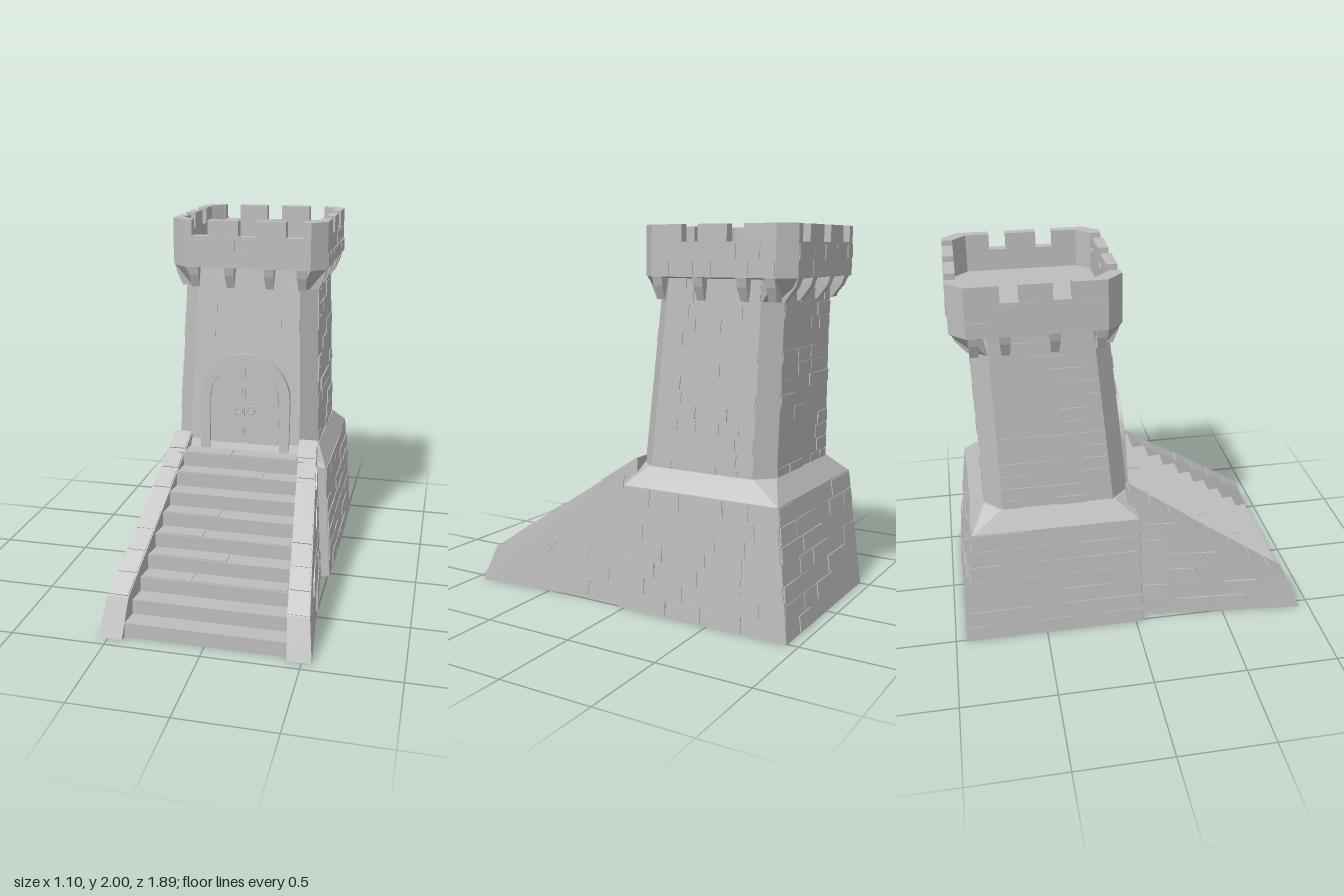
import * as THREE from 'three';
import { mergeGeometries } from 'three/addons/utils/BufferGeometryUtils.js';

const stone = new THREE.MeshStandardMaterial({ color: 0xbdbdbd, flatShading: true });
stone.name = 'grey stone';

let seed = 7;
const rand = () => (seed = (seed * 16807) % 2147483647) / 2147483647;
const V = (x, y, z) => new THREE.Vector3(x, y, z);

// Closed solid through rings of equal point count, always facing outwards
function loft(rings) {
  const n = rings[0].length, tris = [];
  for (let r = 0; r < rings.length - 1; r++) {
    for (let i = 0; i < n; i++) {
      const j = (i + 1) % n, [a, b, c, d] = [rings[r][i], rings[r][j], rings[r + 1][i], rings[r + 1][j]];
      tris.push([a, b, d], [a, d, c]);
    }
  }
  const first = rings[0], last = rings[rings.length - 1];
  for (let i = 1; i < n - 1; i++) tris.push([first[0], first[i + 1], first[i]], [last[0], last[i], last[i + 1]]);
  const o = first[0];
  let volume = 0;
  for (const [a, b, c] of tris) {
    volume += a.clone().sub(o).dot(b.clone().sub(o).cross(c.clone().sub(o)));
  }
  if (volume < 0) tris.forEach((t) => t.reverse());
  const g = new THREE.BufferGeometry().setFromPoints(tris.flat());
  g.computeVertexNormals();
  return g;
}

// Rectangle with cut corners, counterclockwise from above
function octagon(x, zf, zb, c, y) {
  return [[-x + c, zf], [x - c, zf], [x, zf - c], [x, zb + c], [x - c, zb], [-x + c, zb], [-x, zb + c], [-x, zf - c]]
    .map(([px, pz]) => V(px, y, pz));
}

const prism = (plan, y0, y1) => loft([y0, y1].map((y) => plan.map(([x, z]) => V(x, y, z))));

// Scattered raised blocks over a four-cornered wall face
function bricks([bl, br, tr, tl], rows, width, density, keep = () => true) {
  const at = (u, v) => bl.clone().lerp(br, u).lerp(tl.clone().lerp(tr, u), v);
  const normal = br.clone().sub(bl).cross(tl.clone().sub(bl)).normalize();
  const list = [];
  for (let r = 0; r < rows; r++) {
    const v0 = (r + 0.06) / rows, v1 = (r + 0.94) / rows;
    const length = at(0, v0).distanceTo(at(1, v0));
    let u = 0;
    while (u < 0.999) {
      let end = u + (width * (0.65 + 0.7 * rand())) / length;
      if (end > 1 - (0.4 * width) / length) end = 1;
      const g = 0.004 / length;
      const mid = at((u + end) / 2, (v0 + v1) / 2);
      if (rand() < density && keep(mid)) {
        const corners = [[u + g, v0], [end - g, v0], [end - g, v1], [u + g, v1]].map(([a, b]) => at(a, b));
        const t = 0.003 + 0.004 * rand();
        list.push(loft([-0.006, t].map((d) => corners.map((p) => p.clone().addScaledVector(normal, d)))));
      }
      u = end;
    }
  }
  return list;
}

const face = (low, high, i) => [low[i], low[(i + 1) % 8], high[(i + 1) % 8], high[i]];

export function createModel() {
  const model = new THREE.Group();
  const add = (name, geos, parent = model) => {
    const list = [geos].flat().map((g) => (g.index ? g.toNonIndexed() : g));
    list.forEach((g) => g.deleteAttribute('uv'));
    const mesh = new THREE.Mesh(mergeGeometries(list), stone);
    mesh.name = name;
    parent.add(mesh);
    return mesh;
  };

  // Sloped plinth
  const p0 = octagon(0.512, 0.04, -0.942, 0.002, 0);
  const p1 = octagon(0.47, 0.02, -0.865, 0.002, 0.66);
  const p2 = octagon(0.41, -0.015, -0.79, 0.085, 0.765);
  add('plinth', loft([p0, p1, p2]));
  add('plinthBricks', [2, 4, 6].flatMap((i) => bricks(face(p0, p1, i), 7, 0.2, 0.6)));

  // Tapering tower shaft
  const t0 = octagon(0.405, -0.018, -0.785, 0.09, 0.74);
  const t1 = octagon(0.368, -0.116, -0.8, 0.085, 1.76);
  add('towerShaft', loft([t0, t1]));
  const offDoor = (p) => p.z < -0.2 || Math.abs(p.x) > 0.33 || p.y > 1.31;
  add('towerBricks', [0, 2, 4, 6].flatMap((i) => bricks(face(t0, t1, i), 14, 0.15, 0.5, offDoor)));

  // Parapet with a sunken roof floor
  const out = { x: 0.43, zf: -0.052, zb: -0.893, c: 0.08 };
  const inn = { x: 0.378, zf: -0.108, zb: -0.838, c: 0.07 };
  const outer = (y) => octagon(out.x, out.zf, out.zb, out.c, y);
  const inner = (y) => octagon(inn.x, inn.zf, inn.zb, inn.c, y);
  add('parapet', loft([octagon(0.36, -0.12, -0.8, 0.08, 1.735), outer(1.745), outer(1.915), inner(1.915), inner(1.8)]));
  add('parapetBricks', [0, 2, 4, 6].flatMap((i) => bricks(face(outer(1.75), outer(1.91), i), 2, 0.15, 0.55)));

  // Merlons: chamfered corners, then straight runs between the gaps
  const merlons = [];
  const o = outer(0), n = inner(0);
  for (const i of [1, 3, 5, 7]) {
    const j = (i + 1) % 8;
    merlons.push(prism([o[i], o[j], n[j], n[i]].map((p) => [p.x, p.z]), 1.91, 2));
  }
  const runs = (lo, hi, gaps, width) => {
    const edges = [lo, ...gaps.flatMap((g) => [g - width / 2, g + width / 2]), hi];
    return edges.flatMap((e, k) => (k % 2 ? [] : [[e, edges[k + 1]]]));
  };
  for (const [a, b] of runs(-0.35, 0.35, [-0.26, 0, 0.26], 0.09)) {
    for (const [z0, z1] of [[out.zf, inn.zf], [inn.zb, out.zb]]) {
      merlons.push(prism([[a, z0], [b, z0], [b, z1], [a, z1]], 1.91, 2));
    }
  }
  for (const [a, b] of runs(-0.813, -0.132, [-0.6, -0.35], 0.09)) {
    for (const s of [1, -1]) {
      merlons.push(prism([[s * inn.x, a], [s * out.x, a], [s * out.x, b], [s * inn.x, b]], 1.91, 2));
    }
  }
  add('merlons', merlons);

  // Corbels under the parapet, and flared corner supports
  const corbels = [];
  const corbel = (place, s, reach) => {
    const ring = (d, w, y) => [[s - w, -0.04], [s + w, -0.04], [s + w, d], [s - w, d]]
      .map(([a, b]) => { const [x, z] = place(a, b); return V(x, y, z); });
    corbels.push(loft([ring(0.014, 0.02, 1.63), ring(reach * 0.8, 0.026, 1.7), ring(reach, 0.028, 1.75)]));
  };
  for (const s of [-0.3, -0.1, 0.12, 0.3]) {
    corbel((a, d) => [a, -0.108 + d], s, 0.052);
    corbel((a, d) => [a, -0.798 - d], s, 0.088);
  }
  for (const s of [-0.16, -0.39, -0.63, -0.78]) {
    corbel((a, d) => [0.37 + d, a], s, 0.056);
    corbel((a, d) => [-0.37 - d, a], s, 0.056);
  }
  const low = octagon(0.376, -0.1, -0.806, 0.085, 1.63), high = outer(1.75);
  for (const i of [1, 3, 5, 7]) {
    const section = (r) => {
      const [a, b] = [r[i], r[(i + 1) % 8]];
      const centre = V(0, a.y, -0.46);
      return [a, b, b.clone().lerp(centre, 0.2), a.clone().lerp(centre, 0.2)];
    };
    corbels.push(loft([section(low), section(high)]));
  }
  add('corbels', corbels);

  // Arched doorway, leaning back with the wall
  const door = new THREE.Group();
  door.name = 'doorway';
  door.position.set(0, 0.72, 0);
  door.rotation.x = -0.06;
  model.add(door);
  const arch = (r, Shape = THREE.Shape) => {
    const s = new Shape();
    s.moveTo(-r, 0);
    s.lineTo(r, 0);
    s.lineTo(r, 0.3);
    s.absarc(0, 0.3, r, 0, Math.PI, false);
    s.lineTo(-r, 0);
    return s;
  };
  const extrude = (shape, depth, z) =>
    new THREE.ExtrudeGeometry(shape, { depth, bevelEnabled: false, curveSegments: 12 }).translate(0, 0, z - depth);
  const frame = arch(0.255);
  frame.holes.push(arch(0.2, THREE.Path));
  add('doorFrame', extrude(frame, 0.09, 0.002), door);
  add('doorBack', extrude(arch(0.202), 0.05, -0.016), door);
  for (const s of [1, -1]) {
    const leaf = new THREE.Shape();
    leaf.moveTo(s * 0.006, 0);
    leaf.lineTo(s * 0.19, 0);
    leaf.lineTo(s * 0.19, 0.3);
    leaf.absarc(0, 0.3, 0.19, s > 0 ? 0 : Math.PI, Math.PI / 2, s < 0);
    leaf.lineTo(s * 0.006, 0);
    add('doorLeaf', extrude(leaf, 0.02, -0.01), door);
    add('doorBands', [0.115, 0.34].map((y) => new THREE.BoxGeometry(0.17, 0.028, 0.01).translate(s * 0.1, y, -0.008)), door);
    add('doorHandle', new THREE.TorusGeometry(0.02, 0.005, 5, 10).translate(s * 0.034, 0.235, -0.006), door);
  }

  // Stairs narrowing towards the door
  const half = (z) => 0.345 + 0.105 * z;
  const steps = [], slabs = [];
  for (let i = 0; i < 9; i++) {
    const z = 0.91 - 0.1 * i, y = 0.08 * (i + 1), w = half(z), b = half(-0.04);
    steps.push(prism([[-w, z], [w, z], [b, -0.04], [-b, -0.04]], y - 0.08, y));
    const x = w - 0.035;
    slabs.push(...bricks([V(-x, y, z), V(x, y, z), V(x, y, z - 0.1), V(-x, y, z - 0.1)], 1, 0.38, 0.6));
  }
  add('steps', steps);
  add('stepSlabs', slabs);

  // Sloping side walls of the stairs
  for (const s of [1, -1]) {
    const quad = (pts) => {
      const q = pts.map(([x, y, z]) => V(s * x, y, z));
      return s > 0 ? q : [q[1], q[0], q[3], q[2]];
    };
    const front = quad([[0.425, 0, 0.945], [0.55, 0, 0.945], [0.525, 0.2, 0.86], [0.41, 0.2, 0.86]]);
    const back = quad([[0.31, 0, -0.03], [0.452, 0, -0.03], [0.41, 0.8, -0.03], [0.31, 0.8, -0.03]]);
    const side = s > 0 ? 'left' : 'right';
    add(side + 'StairWall', loft([front, back]));
    const outside = quad([[0.546, 0.01, 0.91], [0.458, 0.01, 0.045], [0.421, 0.7, 0.045], [0.43, 0.7, 0.115]]);
    add(side + 'StairWallBricks', bricks(outside, 7, 0.2, 0.6));
    const top = quad([[0.412, 0.2, 0.86], [0.523, 0.2, 0.86], [0.41, 0.8, -0.03], [0.312, 0.8, -0.03]]);
    add(side + 'Coping', bricks(top, 8, 0.3, 0.8));
  }
  return model;
}
